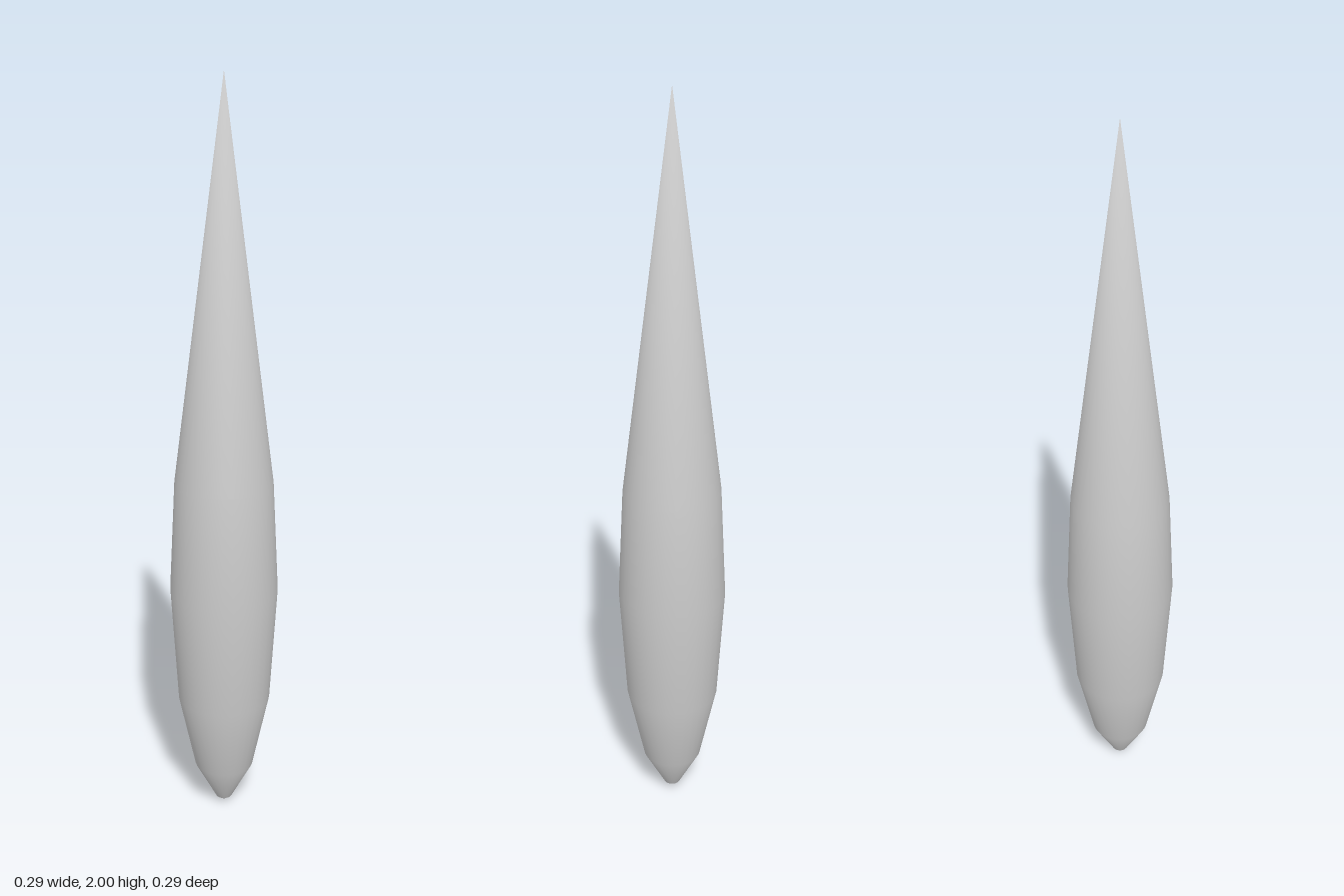
import * as THREE from 'three';
import { mergeVertices } from 'three/addons/utils/BufferGeometryUtils.js';

export function createModel() {
  const group = new THREE.Group();
  group.name = 'taperedDrop';

  // Profile [radius, height]: blunt foot, swollen belly, long straight spike
  const profile = [
    [0, 0], [0.022, 0.016], [0.08, 0.125], [0.125, 0.335],
    [0.1445, 0.655], [0.13, 0.96], [0, 2],
  ].map(([r, y]) => new THREE.Vector2(r, y));

  // Weld the seam and the poles so the shading is smooth all the way round
  let geometry = new THREE.LatheGeometry(profile, 32);
  geometry.deleteAttribute('uv');
  geometry.deleteAttribute('normal');
  geometry = mergeVertices(geometry, 1e-5);
  geometry.computeVertexNormals();

  const body = new THREE.Mesh(geometry, new THREE.MeshStandardMaterial({ color: 0xcccccc }));
  body.name = 'body';
  group.add(body);
  return group;
}
